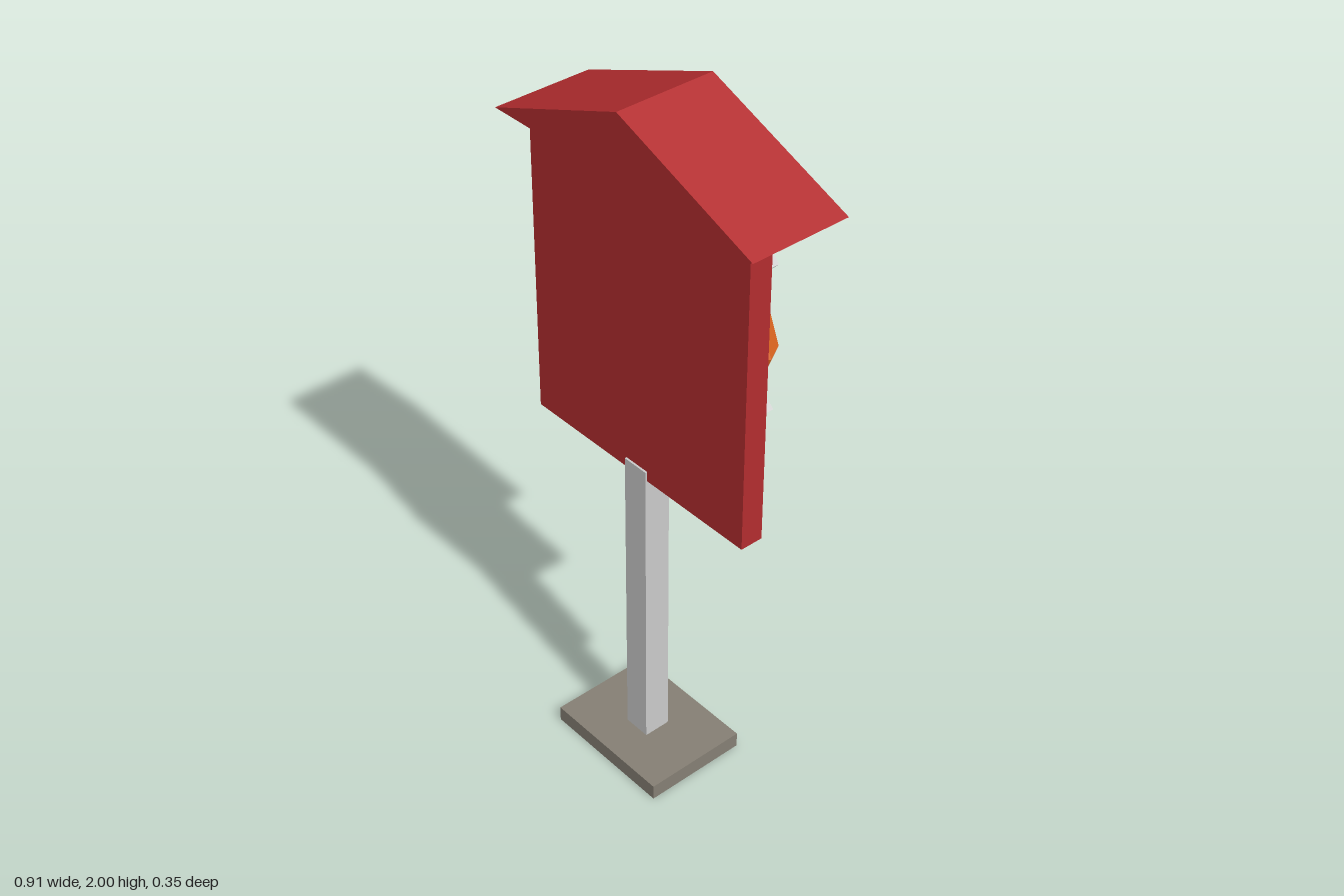
import * as THREE from 'three';

const mat = (name, color) => {
  const m = new THREE.MeshStandardMaterial({ color, flatShading: true });
  m.name = name;
  return m;
};

export function createModel() {
  const group = new THREE.Group();
  const red = mat('red paint', 0xb32d2f);
  const metal = mat('light grey metal', 0xcacaca);
  const stone = mat('grey brown stone', 0x857f74);
  const orange = mat('orange foam', 0xdd661f);
  const rope = mat('beige rope', 0xb8a57c);
  const dark = mat('dark grey metal', 0x5a5c5c);

  const add = (name, geometry, material, x = 0, y = 0, z = 0) => {
    const mesh = new THREE.Mesh(geometry, material);
    mesh.name = name;
    mesh.position.set(x, y, z);
    group.add(mesh);
    return mesh;
  };
  // Box given by half width and its y and z ranges
  const box = (name, material, hx, y0, y1, z0, z1) =>
    add(name, new THREE.BoxGeometry(hx * 2, y1 - y0, z1 - z0), material, 0, (y0 + y1) / 2, (z0 + z1) / 2);

  // Stand and board
  box('base', stone, 0.2, 0, 0.046, -0.13, 0.176);
  box('post', metal, 0.04, 0.046, 0.975, -0.015, 0.064);
  box('board', red, 0.39, 0.945, 1.822, -0.008, 0.058);
  box('backPlate', metal, 0.335, 1.0, 1.76, -0.017, -0.008);
  box('hook', dark, 0.025, 1.66, 1.715, -0.09, -0.017);

  // Gabled roof with its ridge running front to back
  const gable = new THREE.Shape([
    new THREE.Vector2(-0.453, 1.822),
    new THREE.Vector2(0.453, 1.822),
    new THREE.Vector2(0, 2),
  ]);
  add('roof', new THREE.ExtrudeGeometry(gable, { depth: 0.29, bevelEnabled: false }), red, 0, 0, -0.178);

  // Life ring with four wrapped bands on its diagonals
  const ringY = 1.41;
  const ringZ = -0.081;
  add('lifeRing', new THREE.TorusGeometry(0.264, 0.061, 6, 8), orange, 0, ringY, ringZ);
  for (let i = 0; i < 4; i++) {
    const a = Math.PI / 4 + (i * Math.PI) / 2;
    const band = add('ringBand', new THREE.BoxGeometry(0.146, 0.085, 0.136), metal,
      0.266 * Math.cos(a), ringY + 0.266 * Math.sin(a), ringZ);
    band.rotation.z = a;
  }

  // Rope loop hanging below the ring
  add('ropeLoop', new THREE.TorusGeometry(0.08, 0.04, 6, 8), rope, 0, 1.055, -0.064);

  return group;
}
